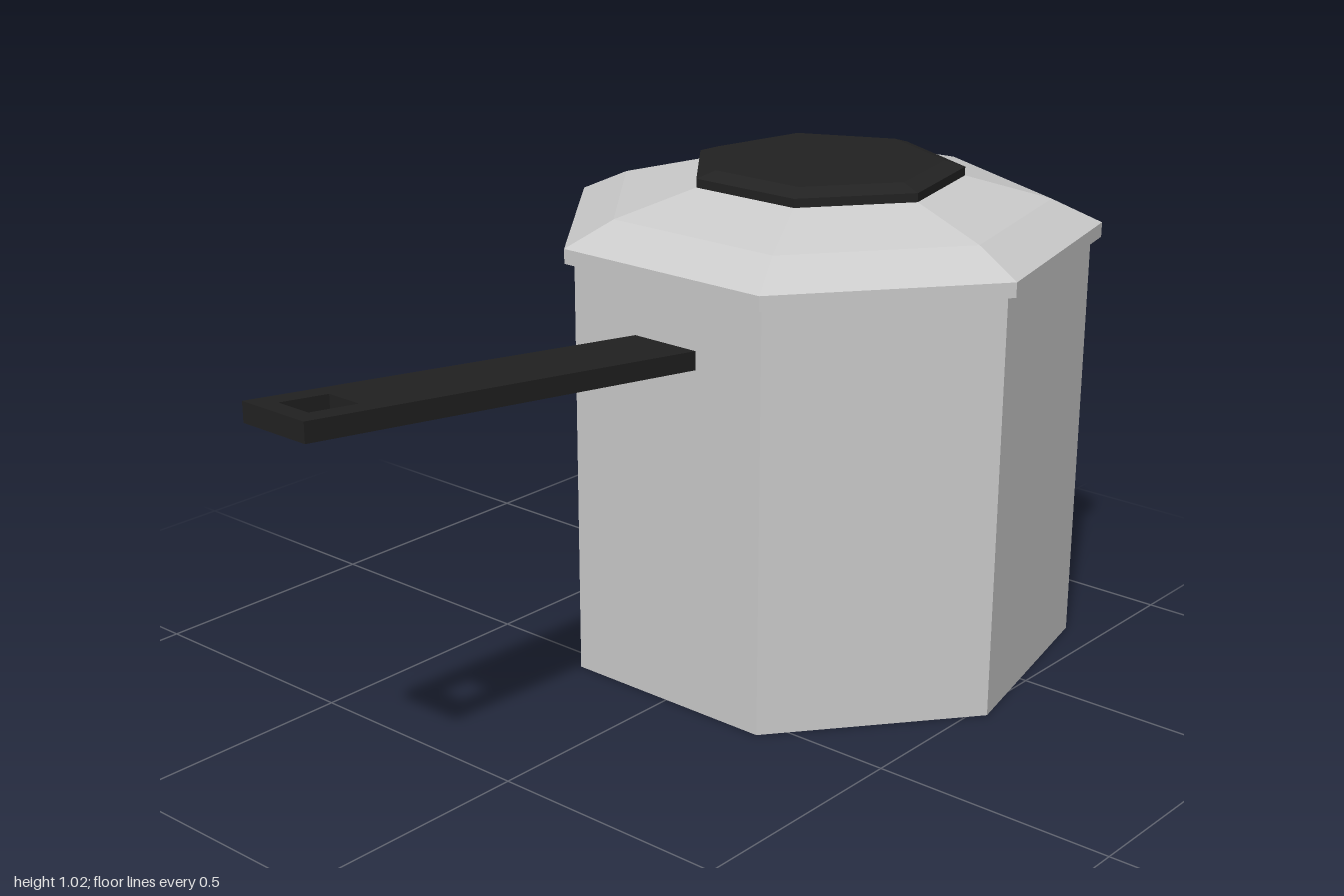
import * as THREE from 'three';

const SIDES = 7;
const CENTER_Z = -0.438;

const steel = new THREE.MeshStandardMaterial({ color: 0xcccccc, flatShading: true });
const black = new THREE.MeshStandardMaterial({ color: 0x222222, flatShading: true });

// Seven-sided turned part with a corner pointing to the back
function turned(name, profile, material) {
  const points = profile.map(([r, y]) => new THREE.Vector2(r, y));
  const mesh = new THREE.Mesh(new THREE.LatheGeometry(points, SIDES, Math.PI), material);
  mesh.name = name;
  mesh.position.z = CENTER_Z;
  return mesh;
}

function rectangle(path, halfWidth, z0, z1) {
  path.moveTo(-halfWidth, z0);
  path.lineTo(halfWidth, z0);
  path.lineTo(halfWidth, z1);
  path.lineTo(-halfWidth, z1);
  path.closePath();
  return path;
}

// Flat bar with a hanging hole, rising towards its free end
function createHandle() {
  const outline = rectangle(new THREE.Shape(), 0.076, 0.04, 1);
  outline.holes.push(rectangle(new THREE.Path(), 0.037, 0.85, 0.957));
  const geometry = new THREE.ExtrudeGeometry(outline, { depth: 0.038, bevelEnabled: false });
  geometry.rotateX(Math.PI / 2);
  const pos = geometry.attributes.position;
  for (let i = 0; i < pos.count; i++) {
    pos.setY(i, pos.getY(i) + 0.872 - 0.123 * (1 - pos.getZ(i)));
  }
  geometry.computeVertexNormals();
  const mesh = new THREE.Mesh(geometry, black);
  mesh.name = 'handle';
  return mesh;
}

export function createModel() {
  const model = new THREE.Group();
  model.name = 'saucepan';
  model.add(
    // Hollow pot body
    turned('potBody', [[0, 0], [0.541, 0], [0.541, 0.865], [0.52, 0.865], [0.52, 0.02], [0, 0.02]], steel),
    // Faceted lid with an upright rim, resting just above the pot
    turned('lid', [[0, 0.87], [0.562, 0.87], [0.562, 0.9], [0.458, 0.948], [0.275, 0.996], [0, 0.996]], steel),
    // Low grip plate on the lid
    turned('lidGrip', [[0, 0.994], [0.282, 0.994], [0.282, 1.012], [0.24, 1.025], [0, 1.025]], black),
    createHandle()
  );
  return model;
}
